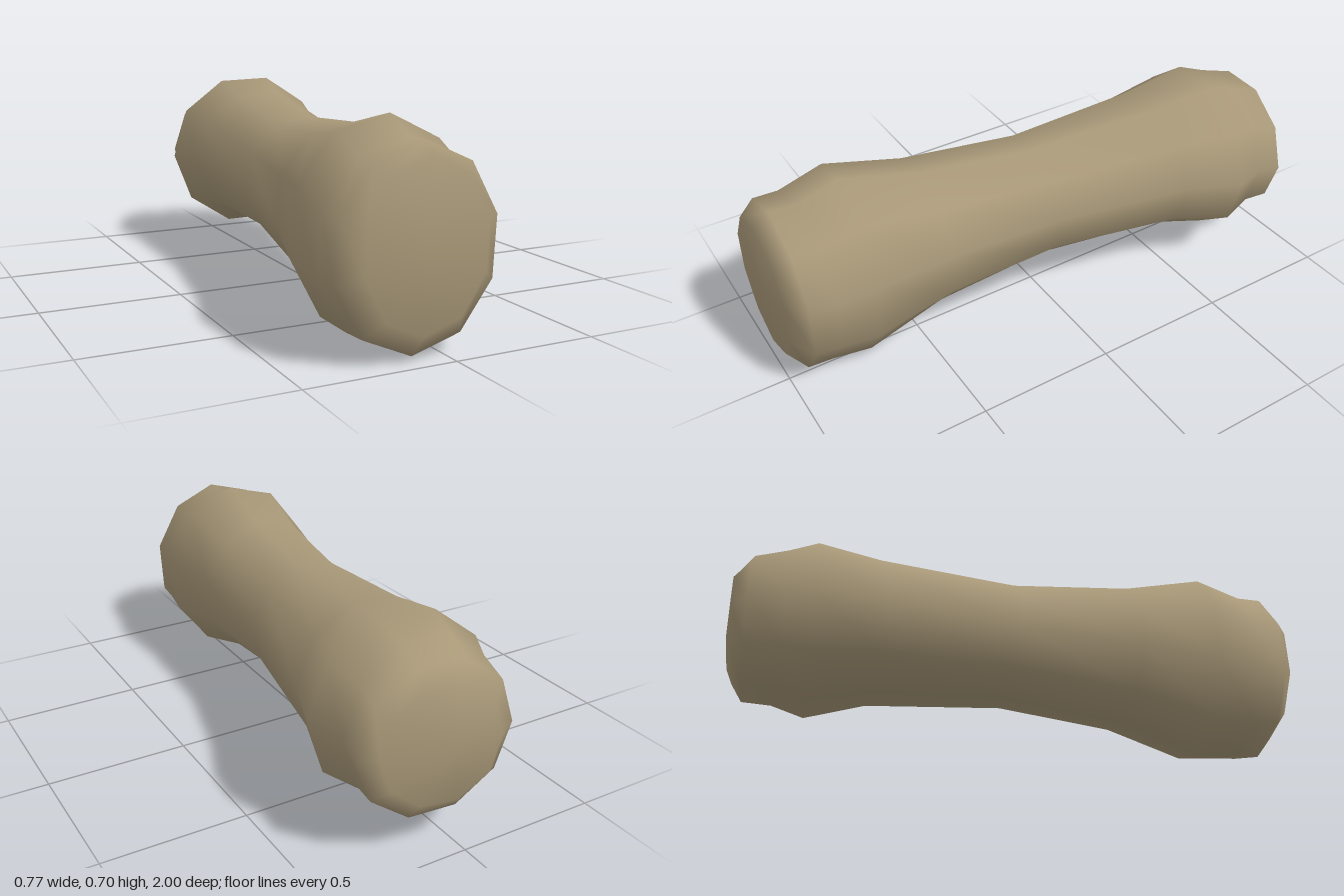
import * as THREE from 'three';

const SIDES = 10;

// Cross-sections from front to back: z, left x, right x, low y, high y, tilt of z across x
const SECTIONS = [
  [1.00, -0.31, 0.10, 0.09, 0.61, 0],
  [0.94, -0.375, 0.17, 0.015, 0.65, 0],
  [0.85, -0.38, 0.175, 0.01, 0.645, 0],
  [0.70, -0.385, 0.205, 0.00, 0.70, 0.02],
  [0.42, -0.315, 0.185, 0.10, 0.64, 0],
  [0.00, -0.25, 0.205, 0.16, 0.61, 0],
  [-0.49, -0.24, 0.31, 0.145, 0.66, 0],
  [-0.71, -0.265, 0.385, 0.09, 0.70, 0.02],
  [-0.82, -0.22, 0.34, 0.12, 0.66, 0],
  [-0.93, -0.19, 0.35, 0.13, 0.63, 0.02],
  [-0.975, -0.11, 0.29, 0.19, 0.57, 0.035],
];

// Ten-sided ring stretched to fill its box; the corners twist slightly along the length
function ring([z, x0, x1, y0, y1, tilt]) {
  const phase = THREE.MathUtils.degToRad(79.5 + 7.5 * z);
  const pts = Array.from({ length: SIDES }, (_, k) => {
    const a = phase + (k / SIDES) * Math.PI * 2;
    return [Math.cos(a), Math.sin(a)];
  });
  const mx = Math.max(...pts.map(p => Math.abs(p[0])));
  const my = Math.max(...pts.map(p => Math.abs(p[1])));
  return pts.map(([c, s]) => [
    (x0 + x1) / 2 + (c / mx) * (x1 - x0) / 2,
    (y0 + y1) / 2 + (s / my) * (y1 - y0) / 2,
    Math.max(-1, z + tilt * c / mx),
  ]);
}

function loftGeometry() {
  const positions = SECTIONS.flatMap(s => ring(s).flat());
  const index = [];
  const last = SECTIONS.length - 1;
  const front = SECTIONS.length * SIDES, back = front + 1;
  positions.push(-0.11, 0.35, 1, 0.06, 0.38, -1);
  for (let k = 0; k < SIDES; k++) {
    const n = (k + 1) % SIDES;
    // Shaft and knobbed ends
    for (let i = 0; i < last; i++) {
      const a = i * SIDES + k, b = i * SIDES + n;
      index.push(a, a + SIDES, b, b, a + SIDES, b + SIDES);
    }
    // End caps
    index.push(front, k, n, back, last * SIDES + n, last * SIDES + k);
  }
  const geometry = new THREE.BufferGeometry();
  geometry.setAttribute('position', new THREE.Float32BufferAttribute(positions, 3));
  geometry.setIndex(index);
  geometry.computeVertexNormals();
  return geometry;
}

export function createModel() {
  const group = new THREE.Group();
  group.name = 'bone';
  const material = new THREE.MeshStandardMaterial({ color: 0xa89878 });
  material.name = 'dull tan';
  const shaft = new THREE.Mesh(loftGeometry(), material);
  shaft.name = 'boneShaft';
  group.add(shaft);
  return group;
}
